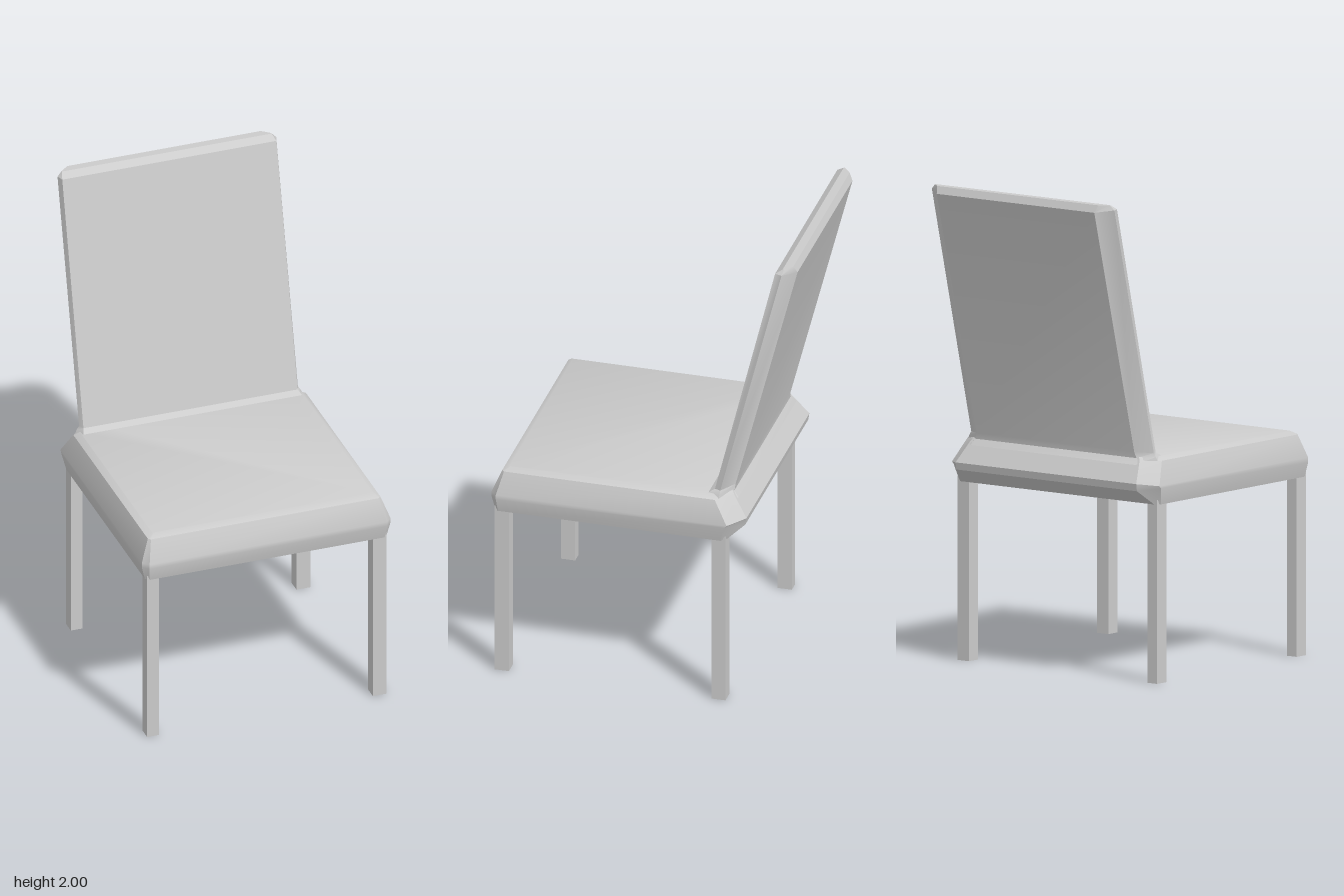
import * as THREE from 'three';
import { toCreasedNormals } from 'three/addons/utils/BufferGeometryUtils.js';

const material = new THREE.MeshStandardMaterial({ color: 0xcccccc });

// Closed, capped loft through rings listed bottom to top.
// Each ring gives its +x half, front to back, as [x, y, z]; the other half is mirrored.
function loft(name, halfRings, crease) {
  const rings = halfRings.map(h => [...h, ...h.map(([x, y, z]) => [-x, y, z]).reverse()]);
  const n = rings[0].length;
  const index = [];
  for (let r = 0; r < rings.length - 1; r++) {
    for (let i = 0; i < n; i++) {
      const j = (i + 1) % n;
      const a = r * n + i, b = r * n + j, c = b + n, d = a + n;
      index.push(a, b, c, a, c, d);
    }
  }
  const top = (rings.length - 1) * n;
  for (let i = 1; i < n - 1; i++) {
    index.push(0, i + 1, i, top, top + i, top + i + 1);
  }
  const geometry = new THREE.BufferGeometry();
  geometry.setAttribute('position', new THREE.Float32BufferAttribute(rings.flat(2), 3));
  geometry.setIndex(index);
  const mesh = new THREE.Mesh(toCreasedNormals(geometry, crease), material);
  mesh.name = name;
  return mesh;
}

export function createModel() {
  const chair = new THREE.Group();
  chair.name = 'chair';

  // Cushioned seat: bevelled sides, with a lip overhanging at the rear
  chair.add(loft('seat', [
    [[0.51, 0.74, 0.62], [0.525, 0.74, 0.605], [0.525, 0.74, -0.34], [0.505, 0.74, -0.36]],
    [[0.515, 0.80, 0.635], [0.54, 0.80, 0.61], [0.54, 0.81, -0.36], [0.47, 0.80, -0.43]],
    [[0.515, 0.82, 0.635], [0.54, 0.82, 0.61], [0.54, 0.82, -0.37], [0.47, 0.83, -0.435]],
    [[0.495, 0.915, 0.595], [0.505, 0.915, 0.585], [0.505, 0.915, -0.31], [0.44, 0.915, -0.375]],
    [[0.475, 0.93, 0.57], [0.48, 0.93, 0.565], [0.48, 0.93, -0.30], [0.43, 0.93, -0.365]],
  ], 0.6));

  // Reclined backrest: flared foot, wide rear chamfers and a bevelled top
  chair.add(loft('backrest', [
    [[0.485, 0.90, -0.26], [0.50, 0.90, -0.32], [0.43, 0.90, -0.39]],
    [[0.475, 0.93, -0.275], [0.485, 0.93, -0.325], [0.42, 0.925, -0.37]],
    [[0.465, 0.945, -0.30], [0.475, 0.945, -0.325], [0.41, 0.95, -0.372]],
    [[0.465, 1.98, -0.555], [0.475, 1.98, -0.585], [0.41, 1.97, -0.635]],
    [[0.455, 2.0, -0.585], [0.455, 2.0, -0.59], [0.42, 2.0, -0.62]],
  ], 0.5));

  // Four square legs
  for (const [row, z] of [['front', 0.59], ['back', -0.33]]) {
    for (const [side, x] of [['Left', 0.49], ['Right', -0.495]]) {
      const width = side === 'Left' ? 0.06 : 0.05;
      const leg = new THREE.Mesh(new THREE.BoxGeometry(width, 0.76, 0.06), material);
      leg.position.set(x, 0.38, z);
      leg.name = `${row}${side}Leg`;
      chair.add(leg);
    }
  }
  return chair;
}
